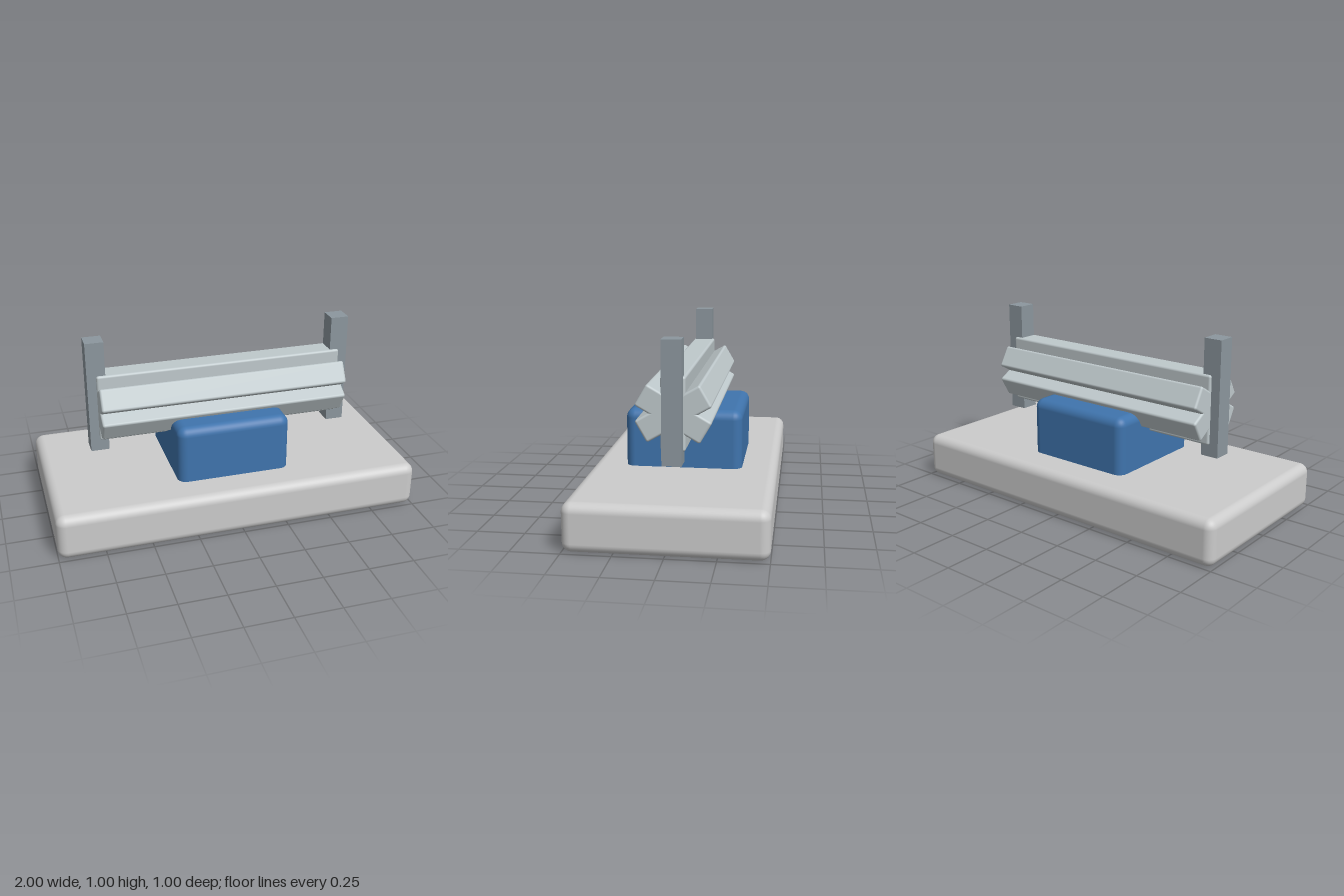
import * as THREE from 'three';
import { RoundedBoxGeometry } from 'three/addons/geometries/RoundedBoxGeometry.js';

const material = (color) => new THREE.MeshStandardMaterial({ color });

export function createModel() {
  const model = new THREE.Group();
  const baseMat = material(0xcccccc);
  const blockMat = material(0x3f74ad);
  const slatMat = material(0xbfc9cc);
  const postMat = material(0x8c979e);

  const add = (name, geometry, mat, x, y, z, parent = model) => {
    const mesh = new THREE.Mesh(geometry, mat);
    mesh.name = name;
    mesh.position.set(x, y, z);
    parent.add(mesh);
    return mesh;
  };

  // Rounded slab the model stands on
  add('base', new RoundedBoxGeometry(2, 0.25, 1, 4, 0.05), baseMat, 0, 0.125, 0);

  // Blue block sunk into the slab
  add('block', new RoundedBoxGeometry(0.625, 0.4375, 0.625, 4, 0.05), blockMat, 0, 0.34375, 0);

  // Roller: three slats crossing on one axis, giving six blades
  const roller = new THREE.Group();
  roller.name = 'roller';
  roller.position.y = 0.625;
  model.add(roller);
  const slatGeometry = new RoundedBoxGeometry(1.375, 0.375, 0.125, 3, 0.0125);
  for (let i = 0; i < 3; i++) {
    add('slat', slatGeometry, slatMat, 0, 0, 0, roller).rotation.x = (i * Math.PI) / 3;
  }

  // Upright post at each end of the roller
  const postGeometry = new THREE.BoxGeometry(0.1, 0.625, 0.1);
  for (const side of [-1, 1]) {
    add(side > 0 ? 'leftPost' : 'rightPost', postGeometry, postMat, side * 0.6875, 0.6875, 0);
  }

  return model;
}
